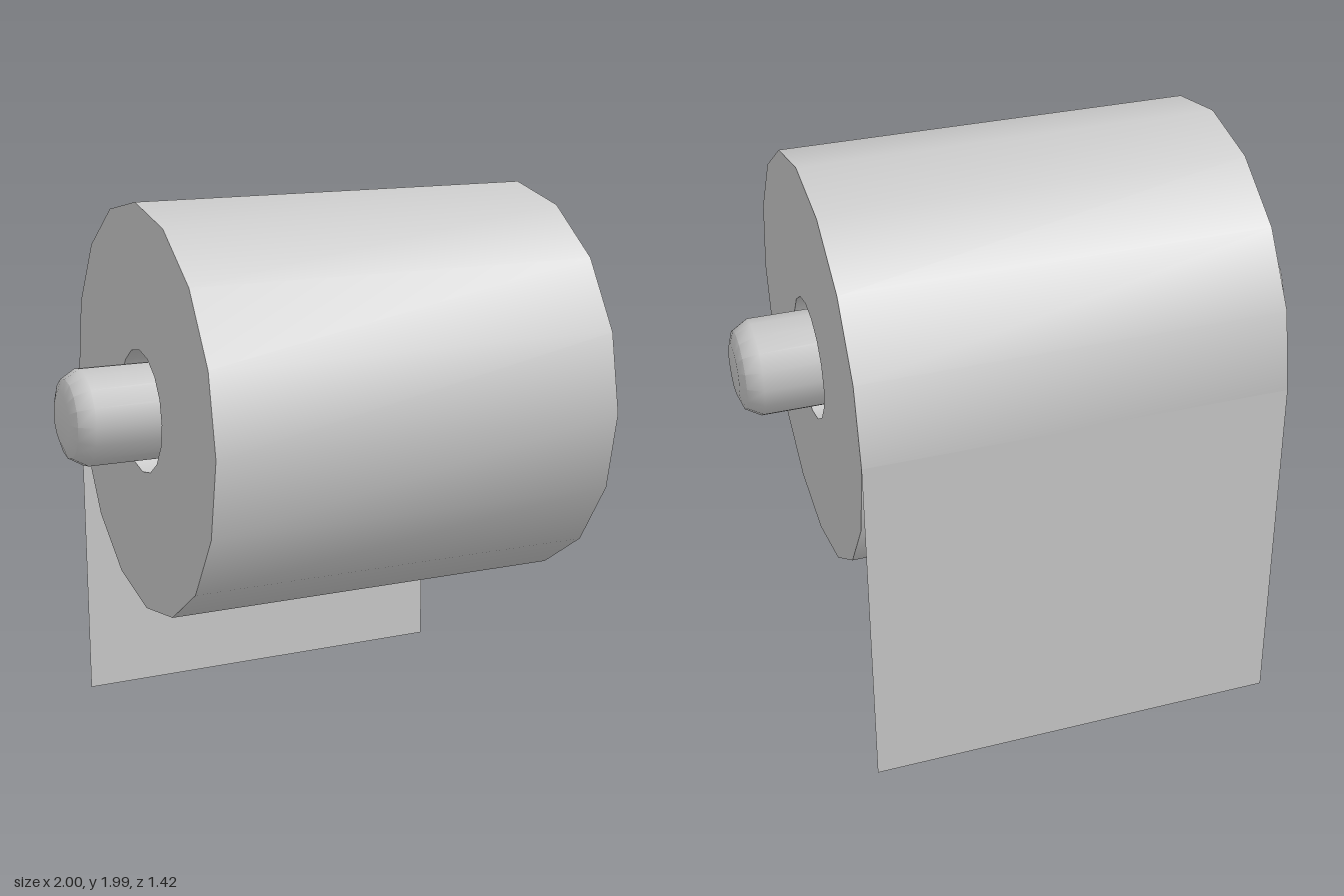
import * as THREE from 'three';
import { toCreasedNormals } from 'three/addons/utils/BufferGeometryUtils.js';

const SIDES = 16;
const AXIS_Y = 1.277;
const ROLL_R = 0.712, HOLE_R = 0.214;
const X0 = -0.72, X1 = 0.74;

export function createModel() {
  const group = new THREE.Group();
  const material = new THREE.MeshStandardMaterial({ color: 0xcccccc });

  // Turns a [radius, x] profile around the horizontal axis of the roll
  const addTurned = (name, profile) => {
    const points = profile.map(([r, x]) => new THREE.Vector2(r, x));
    const geometry = new THREE.LatheGeometry(points, SIDES).rotateZ(-Math.PI / 2);
    const mesh = new THREE.Mesh(toCreasedNormals(geometry, 0.7), material);
    mesh.name = name;
    mesh.position.y = AXIS_Y;
    group.add(mesh);
  };

  // Paper roll with an open core
  addTurned('paperRoll', [
    [HOLE_R, X0], [ROLL_R, X0], [ROLL_R, X1], [HOLE_R, X1], [HOLE_R, X0],
  ]);

  // Holder rod with rounded ends
  const end = [[0, 1], [0.09, 1], [0.137, 0.983], [0.168, 0.93]];
  addTurned('holderRod', [
    ...end.map(([r, x]) => [r, -x]),
    ...end.slice().reverse(),
  ]);

  // Loose sheet hanging straight down from the back of the roll
  const sheetMaterial = material.clone();
  sheetMaterial.side = THREE.DoubleSide;
  const sheet = new THREE.Mesh(new THREE.PlaneGeometry(X1 - X0, AXIS_Y), sheetMaterial);
  sheet.name = 'hangingSheet';
  sheet.rotation.y = Math.PI;
  sheet.position.set((X0 + X1) / 2, AXIS_Y / 2, -ROLL_R);
  group.add(sheet);

  return group;
}
